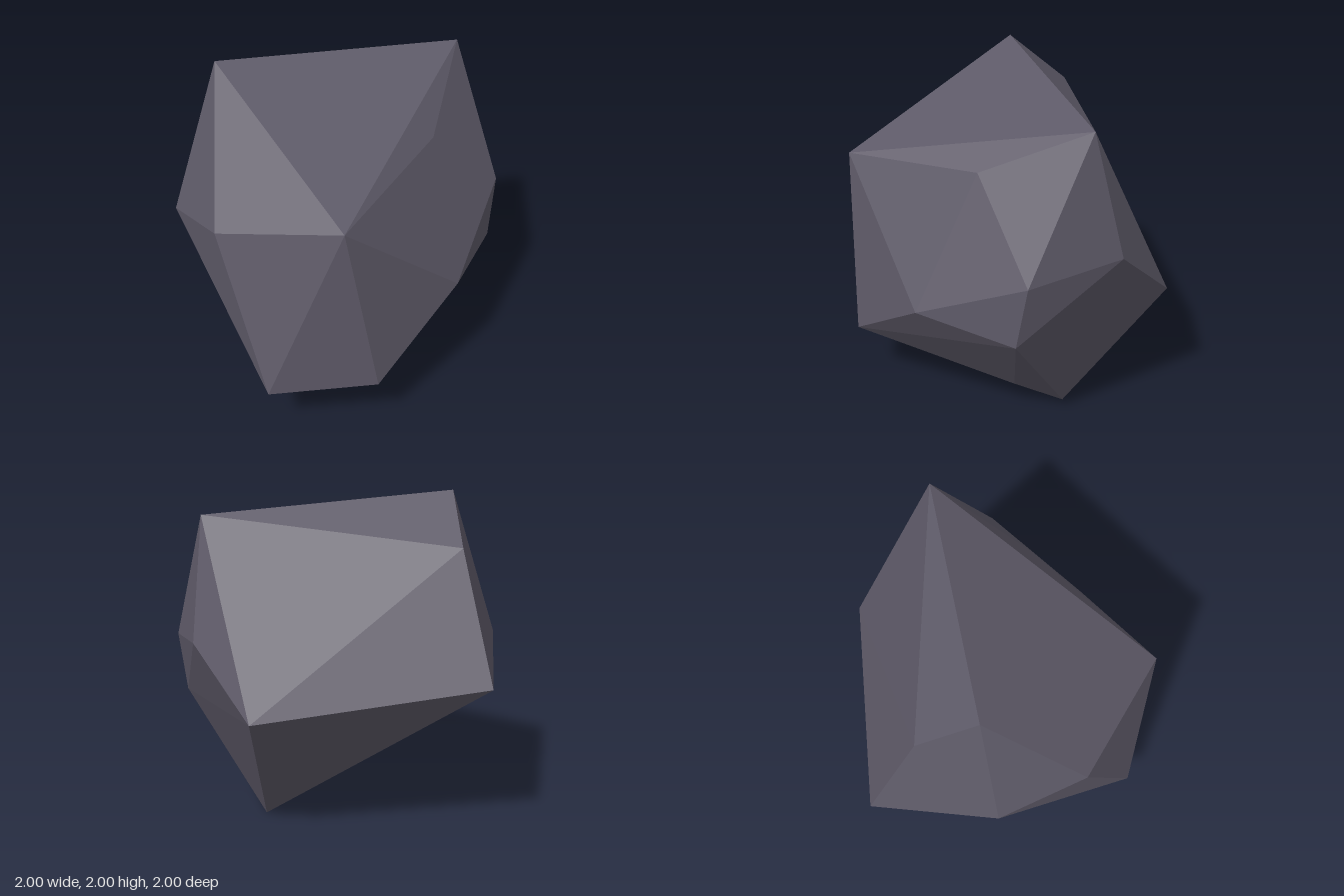
import * as THREE from 'three';
import { ConvexGeometry } from 'three/addons/geometries/ConvexGeometry.js';

// Corner points of the boulder, grouped by height
const corners = [
  // crown
  [-0.39, 2.0, 0.45], [0.39, 1.89, -0.85], [-0.67, 1.7, 0.23], [0.65, 1.575, -0.25], [0.76, 1.47, 0.71],
  // waist
  [0.02, 1.26, 0.93], [0.3, 1.17, -1.0], [0.81, 1.1, -0.76], [-0.5, 1.1, 0.74], [-1.0, 0.935, 0.14],
  [1.0, 0.78, -0.08], [-0.18, 0.78, -0.98], [0.83, 0.72, -0.69],
  // base
  [0.91, 0.385, 0.56], [0.45, 0.35, 1.0], [0.5, 0.18, -0.38], [0.12, 0.13, -0.28], [0.235, 0, -0.54],
];

export function createModel() {
  const stone = new THREE.MeshStandardMaterial({ color: 0x5e5a68, flatShading: true });
  stone.name = 'stone grey';

  // Faceted boulder: the convex shell around the corners
  const points = corners.map((c) => new THREE.Vector3(...c));
  const boulder = new THREE.Mesh(new ConvexGeometry(points), stone);
  boulder.name = 'boulder';

  const group = new THREE.Group();
  group.name = 'rock';
  group.add(boulder);
  return group;
}
